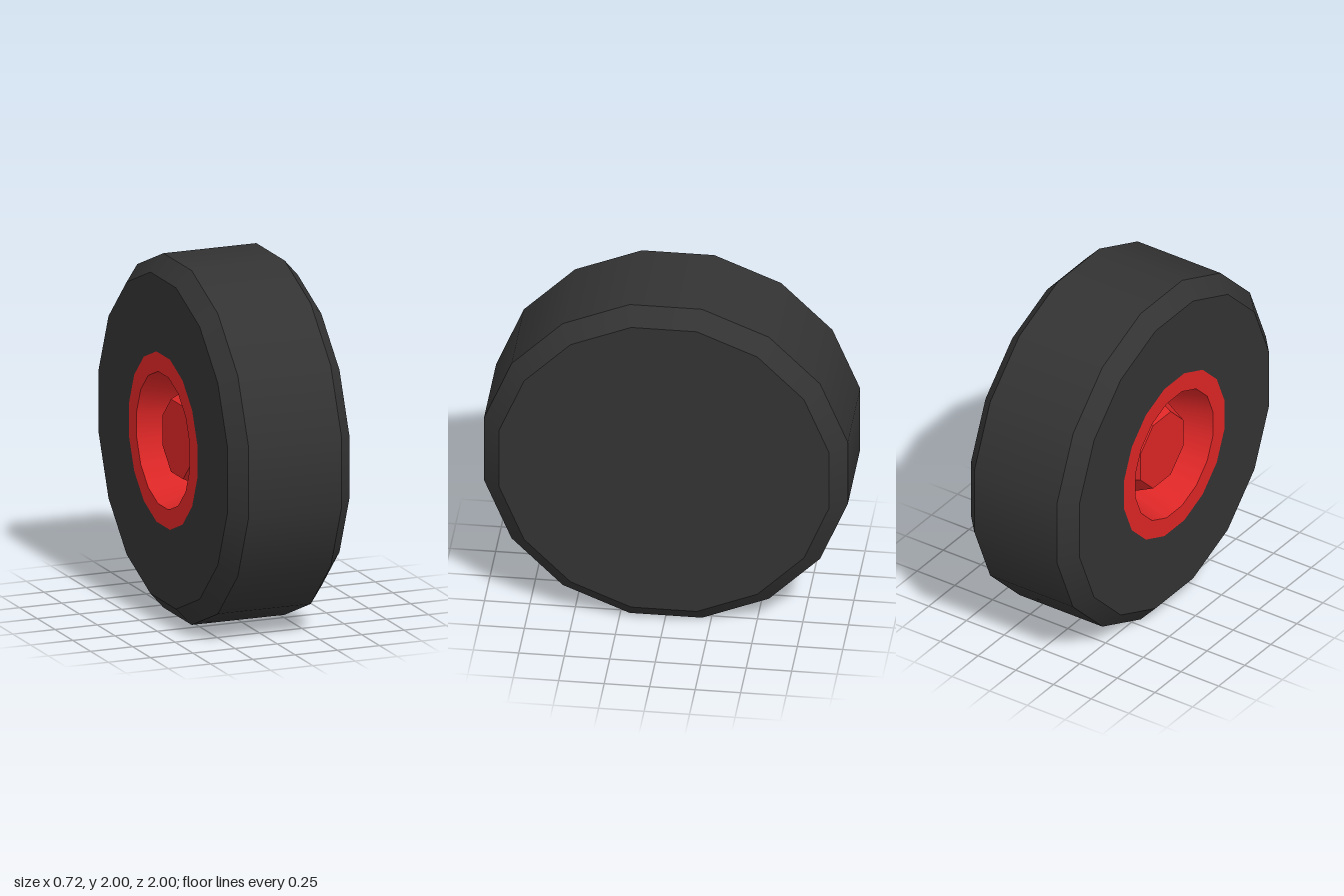
import * as THREE from 'three';
import { mergeGeometries } from 'three/addons/utils/BufferGeometryUtils.js';

const SIDES = 16;

// Revolve a [radius, outward] profile around the axle: smooth around, sharp between bands
function revolve(profile) {
  const bands = [];
  for (let i = 0; i < profile.length - 1; i++) {
    const pts = [profile[i], profile[i + 1]].map(([r, h]) => new THREE.Vector2(r, h));
    bands.push(new THREE.LatheGeometry(pts, SIDES, Math.PI / SIDES));
  }
  return mergeGeometries(bands);
}

export function createModel() {
  const rubber = new THREE.MeshStandardMaterial({ color: 0x333333 });
  rubber.name = 'black rubber';
  const paint = new THREE.MeshStandardMaterial({ color: 0xdc2626 });
  paint.name = 'red paint';

  const wheel = new THREE.Group();
  wheel.name = 'wheel';
  const axle = new THREE.Group();
  axle.name = 'wheelParts';
  axle.rotation.z = Math.PI / 2; // hub side faces -x
  axle.position.y = 1;
  wheel.add(axle);

  const add = (name, geometry, material) => {
    const mesh = new THREE.Mesh(geometry, material);
    mesh.name = name;
    axle.add(mesh);
    return mesh;
  };

  // Tyre: closed inner side, bevelled shoulders, tread and outer sidewall
  add('tyre', revolve([
    [0, -0.36], [0.925, -0.36], [1.02, -0.275],
    [1.02, 0.275], [0.925, 0.36], [0.49, 0.36],
  ]), rubber);

  // Rim: flush ring and the tapering wall of the recess
  add('rim', revolve([[0.49, 0.36], [0.38, 0.36], [0.31, 0.1], [0, 0.1]]), paint);

  // Hub: eight-sided tapered boss in the middle of the recess
  const top = 0.278, base = 0.1;
  const boss = new THREE.CylinderGeometry(0.222, 0.305, top - base, 8, 1, false, Math.PI / 8)
    .toNonIndexed();
  boss.computeVertexNormals();
  add('hub', boss, paint).position.y = (top + base) / 2;

  return wheel;
}
